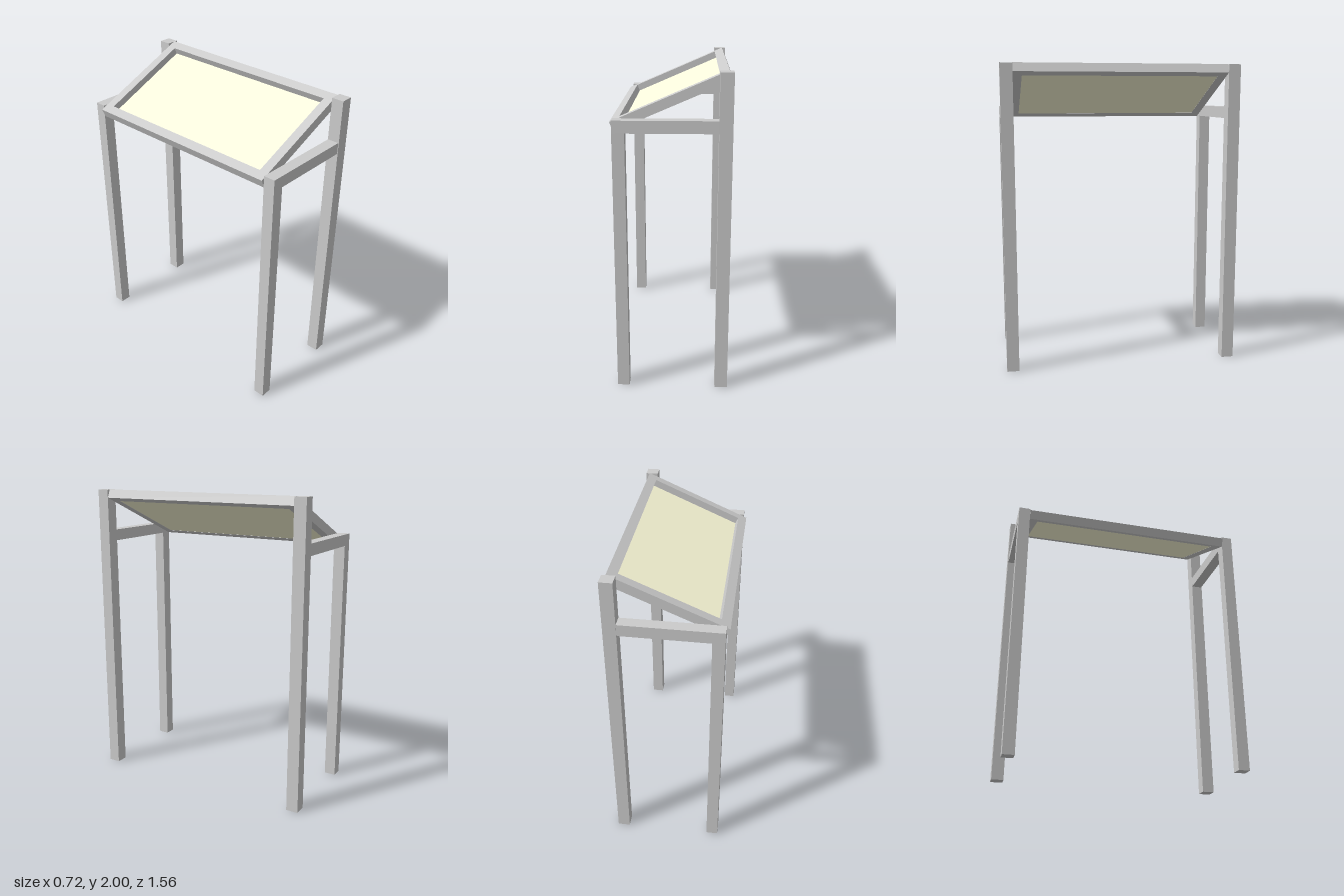
import * as THREE from 'three';

const grey = new THREE.MeshStandardMaterial({ color: 0xcccccc });
const cream = new THREE.MeshStandardMaterial({ color: 0xfffddb });

// Box given by its size and centre
function beam(parent, name, size, centre, material = grey) {
  const mesh = new THREE.Mesh(new THREE.BoxGeometry(...size), material);
  mesh.name = name;
  mesh.position.set(...centre);
  parent.add(mesh);
}

export function createModel() {
  const model = new THREE.Group();
  model.name = 'tiltedPanelStand';

  // Each end: tall post, short post and the arm joining them
  for (const side of [1, -1]) {
    const end = new THREE.Group();
    end.name = side > 0 ? 'frontSupport' : 'backSupport';
    beam(end, 'tallPost', [0.08, 2, 0.08], [0.32, 1, side * 0.739]);
    beam(end, 'shortPost', [0.075, 1.645, 0.075], [-0.3025, 0.8275, side * 0.7375]);
    beam(end, 'arm', [0.62, 0.075, 0.075], [-0.03, 1.6875, side * 0.7375]);
    model.add(end);
  }

  // Sloping frame hung between the supports, high on the +x side
  const length = 0.757, width = 1.4, bar = 0.06, sheet = 0.013;
  const frame = new THREE.Group();
  frame.name = 'tiltedFrame';
  frame.position.y = 1.825;
  frame.rotation.z = THREE.MathUtils.degToRad(23.3);
  for (const s of [1, -1]) {
    beam(frame, s > 0 ? 'upperRail' : 'lowerRail',
      [bar, bar, width], [s * (length - bar) / 2, 0, 0]);
    beam(frame, s > 0 ? 'frontRail' : 'backRail',
      [length - 2 * bar, bar, bar], [0, 0, s * (width - bar) / 2]);
  }

  // Thin sheet at the bottom of the frame opening
  beam(frame, 'panel', [length - 2 * bar, sheet, width - 2 * bar],
    [0, (sheet - bar) / 2 + 0.001, 0], cream);
  model.add(frame);

  return model;
}
